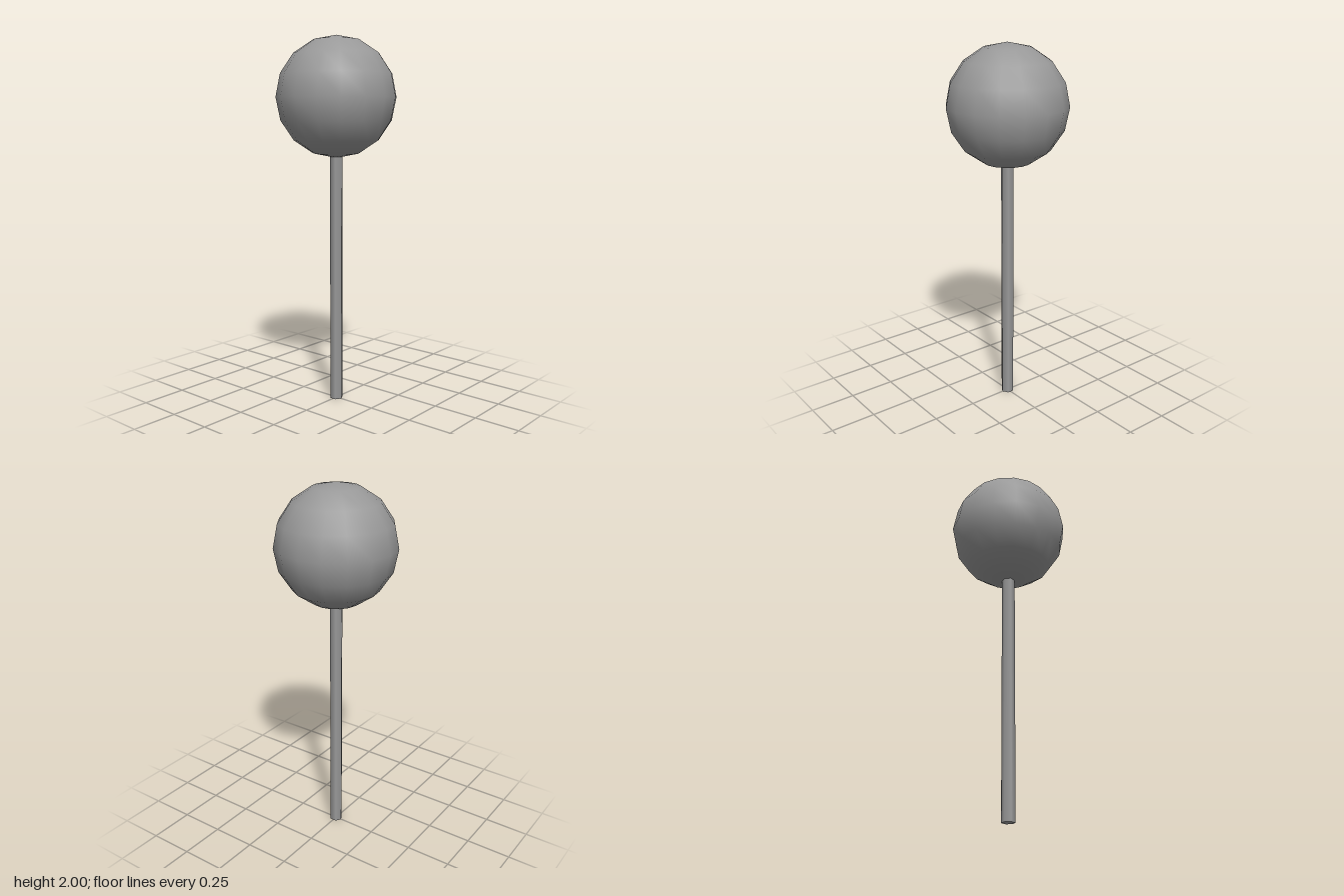
import * as THREE from 'three';

export function createModel() {
  const model = new THREE.Group();
  const material = new THREE.MeshStandardMaterial({ color: 0x999999 });
  const ballRadius = 0.324;
  const ballBottom = 2 - 2 * ballRadius;

  // Round ball at the top
  const ball = new THREE.Mesh(new THREE.SphereGeometry(ballRadius, 16, 8), material);
  ball.name = 'ball';
  ball.position.y = 2 - ballRadius;
  model.add(ball);

  // Six-sided stick with corners on the x axis, sunk slightly into the ball
  const stickHeight = ballBottom + 0.015;
  const stickGeometry = new THREE.CylinderGeometry(0.036, 0.036, stickHeight, 6);
  stickGeometry.rotateY(Math.PI / 6);
  const stick = new THREE.Mesh(stickGeometry, material);
  stick.name = 'stick';
  stick.position.y = stickHeight / 2;
  model.add(stick);

  return model;
}
